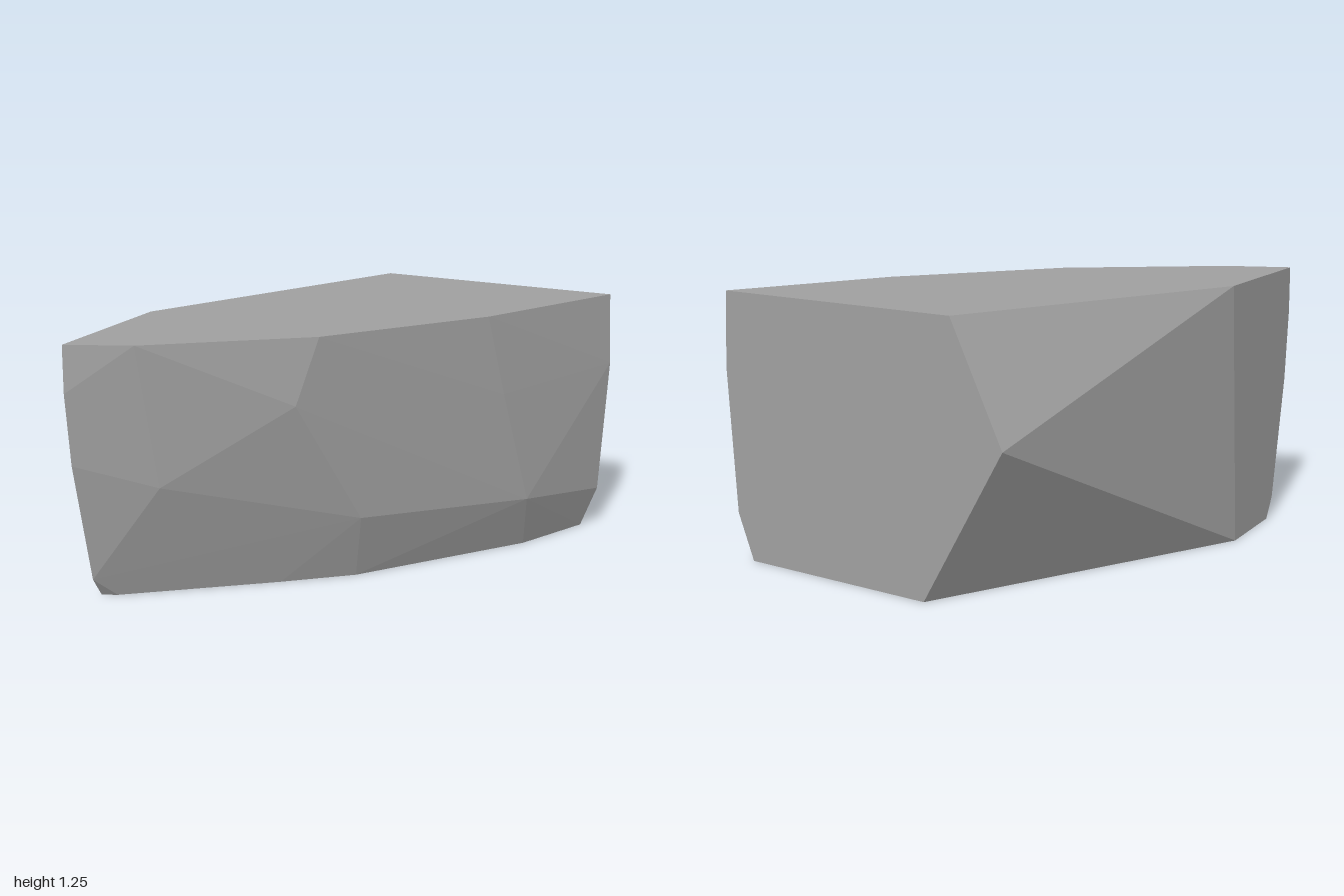
import * as THREE from 'three';
import { ConvexGeometry } from 'three/addons/geometries/ConvexGeometry.js';

export function createModel() {
  const group = new THREE.Group();
  group.name = 'rock';

  const stone = new THREE.MeshStandardMaterial({ color: 0xa0a0a0 });
  stone.name = 'grey stone';

  // flat top outline
  const top = [
    [-0.28, 1.25, -1], [-0.94, 1.25, 0.3], [-0.94, 1.25, 0.99], [-0.65, 1.25, 0.87],
    [0, 1.25, 0.39], [0.54, 1.25, -0.29], [0.92, 1.25, -1],
  ];
  // bulging, chipped front
  const front = [
    [-0.94, 1.03, 1], [-0.94, 0.69, 0.98], [-0.94, 0.1, 0.88], [-0.6, 0.58, 0.8],
    [-0.08, 0.94, 0.47], [0.11, 0.34, 0.19], [0.6, 0.86, -0.37], [0.69, 0.29, -0.51],
    [0.94, 0.9, -1], [0.91, 0.22, -1],
  ];
  // corner where the back cuts meet
  const back = [[-0.53, 0.72, -1]];
  // flat base outline
  const base = [
    [-0.94, 0, 0.43], [-0.94, 0, 0.82], [-0.87, 0, 0.79], [-0.25, 0, 0.33],
    [0.04, 0, 0.1], [0.64, 0, -0.63], [0.83, 0, -1], [-0.13, 0, -1],
  ];

  // faceted block wrapped around the corners
  const corners = [...top, ...front, ...back, ...base].map((p) => new THREE.Vector3(...p));
  const block = new THREE.Mesh(new ConvexGeometry(corners), stone);
  block.name = 'rockBlock';
  group.add(block);
  return group;
}
